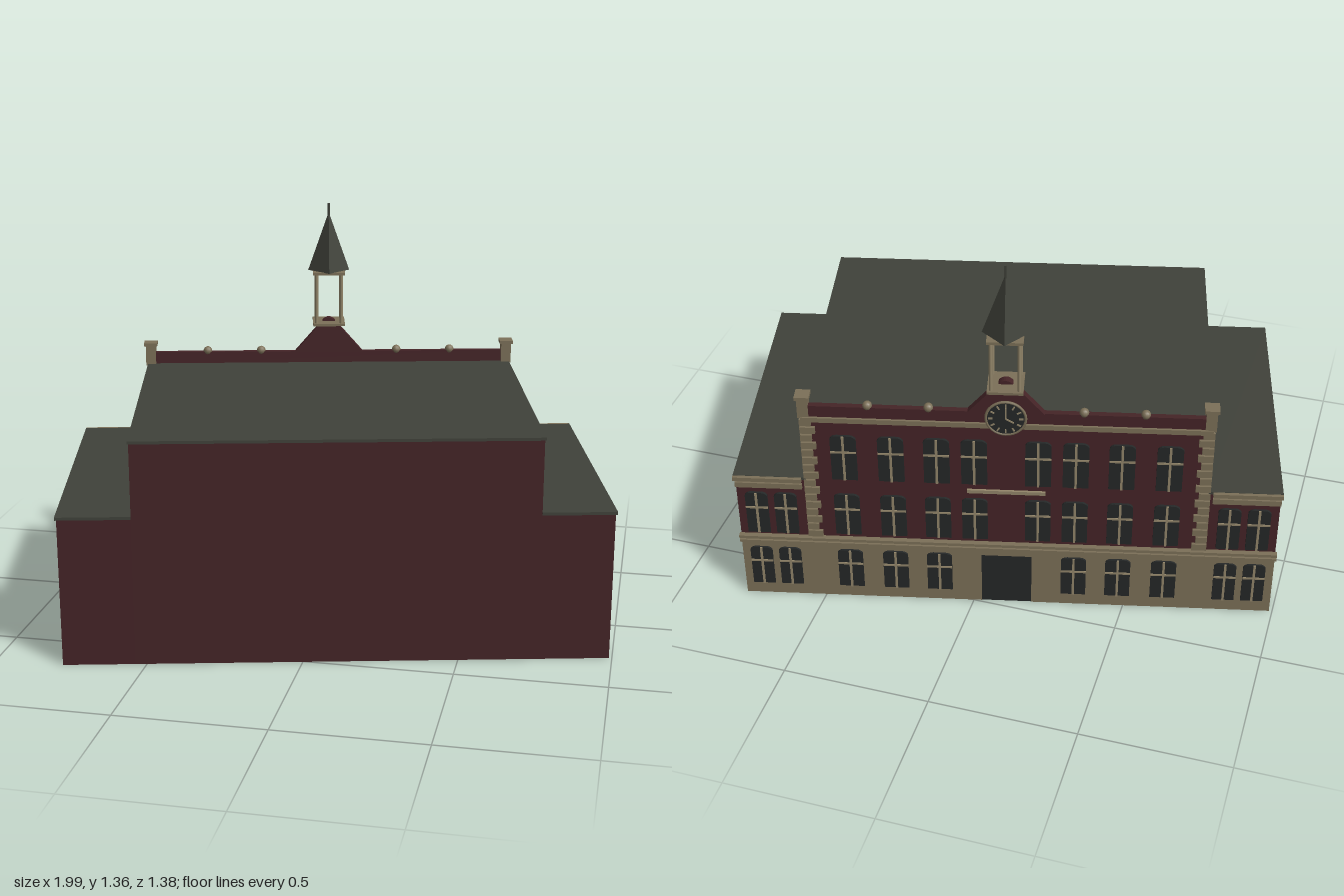
import * as THREE from 'three';

const mat = (name, color, side = THREE.FrontSide) => {
  const m = new THREE.MeshStandardMaterial({ color, side });
  m.name = name;
  return m;
};

export function createModel() {
  const brick = mat('brick', 0x452427);
  const roof = mat('roofSlate', 0x40423a);
  const stone = mat('stone', 0x7c7058);
  const glass = mat('darkGlass', 0x252828);
  const trim = mat('paleTrim', 0x93866a);

  const model = new THREE.Group();
  model.name = 'townHall';
  const hall = new THREE.Group();
  hall.name = 'hall';
  hall.rotation.y = Math.PI + 0.2275; // the decorated facade is turned to the back
  model.add(hall);

  const add = (name, geo, material, parent = hall) => {
    const mesh = new THREE.Mesh(geo, material);
    mesh.name = name;
    parent.add(mesh);
    return mesh;
  };
  // box given by its limits on each axis
  const box = (name, material, x0, x1, y0, y1, z0, z1, parent = hall) => {
    const m = add(name, new THREE.BoxGeometry(x1 - x0, y1 - y0, z1 - z0), material, parent);
    m.position.set((x0 + x1) / 2, (y0 + y1) / 2, (z0 + z1) / 2);
    return m;
  };
  const sides = [-1, 1];
  const F = 0.48; // facade plane

  // Main block and lower wings
  box('mainBlock', brick, -0.664, 0.664, 0, 0.762, -0.49, F);
  box('mainRoof', roof, -0.668, 0.668, 0.76, 0.77, -0.493, F);
  for (const s of sides) {
    const span = (a, b) => (s > 0 ? [a, b] : [-b, -a]);
    box('wing', brick, ...span(0.664, 0.903), 0, 0.507, -0.49, F);
    box('wingRoof', roof, ...span(0.664, 0.909), 0.506, 0.516, -0.493, 0.486);
    box('wingCornice', stone, ...span(0.68, 0.909), 0.5, 0.515, F, 0.498);
    box('wingCorniceLower', stone, ...span(0.68, 0.905), 0.468, 0.488, F, 0.49);
  }

  // Stone ground floor in two halves around the door, and string courses
  for (const [a, b] of [[-0.903, -0.085], [0.085, 0.903]])
    box('groundFloorStone', stone, a, b, 0, 0.232, F, 0.486);
  box('doorHead', stone, -0.085, 0.085, 0.205, 0.232, F, 0.486);
  box('door', glass, -0.085, 0.085, 0, 0.205, F, 0.484);
  box('stringCourseLower', stone, -0.908, 0.908, 0.232, 0.242, F, 0.494);
  box('stringCourseUpper', stone, -0.908, 0.908, 0.252, 0.263, F, 0.498);
  box('mainCornice', stone, -0.664, 0.664, 0.752, 0.77, F, 0.494);
  box('plainSign', trim, -0.13, 0.13, 0.476, 0.489, F, 0.488);

  // Arched windows with a glazing cross
  const windowPane = (w, h) => {
    const s = new THREE.Shape();
    s.moveTo(-w / 2, 0);
    s.lineTo(w / 2, 0);
    s.lineTo(w / 2, h * 0.93);
    s.quadraticCurveTo(w / 2 - 0.008, h, w / 4, h);
    s.lineTo(-w / 4, h);
    s.quadraticCurveTo(-w / 2 + 0.008, h, -w / 2, h * 0.93);
    return new THREE.ExtrudeGeometry(s, { depth: 0.009, bevelEnabled: false, curveSegments: 3 });
  };
  const addWindow = (x, y, z, w, h, turn = 0) => {
    const g = new THREE.Group();
    g.name = 'window';
    g.position.set(x, y, z);
    g.rotation.y = turn;
    add('pane', windowPane(w, h), glass, g);
    box('mullion', trim, -0.004, 0.004, 0, h, 0.009, 0.013, g);
    box('transom', trim, -w / 2, w / 2, h * 0.62, h * 0.62 + 0.007, 0.009, 0.012, g);
    hall.add(g);
  };

  // Side windows, two floors of four
  for (const s of sides)
    for (const z of [-0.33, -0.11, 0.105, 0.32])
      for (const y of [0.04, 0.267])
        addWindow(s * 0.903, y, z, 0.085, 0.18, s * Math.PI / 2);

  // Facade windows
  for (const s of sides) {
    for (const x of [0.74, 0.838]) {
      addWindow(s * x, 0.05, 0.484, 0.075, 0.16);
      addWindow(s * x, 0.275, F, 0.075, 0.17);
    }
    for (const x of [0.228, 0.378, 0.533]) {
      addWindow(s * x, 0.05, 0.484, 0.085, 0.16);
      addWindow(s * x, 0.28, F, 0.085, 0.17);
      addWindow(s * x, 0.515, F, 0.085, 0.18);
    }
    addWindow(s * 0.105, 0.28, F, 0.085, 0.17);
    addWindow(s * 0.105, 0.515, F, 0.085, 0.18);
  }

  // Corner quoins of the main block, alternately long and short
  for (const s of sides) {
    for (let i = 0; i < 16; i++) {
      const w = i % 2 ? 0.038 : 0.05;
      const y = 0.265 + i * 0.0312;
      const x = s * (0.671 - w / 2);
      box('quoin', stone, x - w / 2, x + w / 2, y, y + 0.025, 0.458, 0.49);
    }
    // Corner pillar with cap
    const px = s * 0.656;
    box('pillar', stone, px - 0.018, px + 0.018, 0.765, 0.84, 0.454, 0.49);
    box('pillarCap', stone, px - 0.024, px + 0.024, 0.838, 0.85, 0.448, 0.496);
  }

  // Parapet with stone knobs
  box('parapet', brick, -0.64, 0.64, 0.765, 0.812, 0.466, 0.486);
  for (const x of [-0.447, -0.25, 0.25, 0.447]) {
    const knob = add('parapetKnob', new THREE.SphereGeometry(0.016, 12, 8), stone);
    knob.position.set(x, 0.815, 0.476);
  }

  // Gable behind the clock
  const gable = new THREE.Shape();
  gable.moveTo(-0.125, 0.81);
  gable.lineTo(0.125, 0.81);
  gable.lineTo(0.02, 0.93);
  gable.quadraticCurveTo(0, 0.948, -0.02, 0.93);
  const gableGeo = new THREE.ExtrudeGeometry(gable, { depth: 0.026, bevelEnabled: false, curveSegments: 6 });
  add('gable', gableGeo, brick).position.z = 0.464;

  // Clock
  const clock = new THREE.Group();
  clock.name = 'clock';
  clock.position.set(0, 0.795, 0.49);
  hall.add(clock);
  const face = add('clockFace', new THREE.CylinderGeometry(0.064, 0.064, 0.012, 32), glass, clock);
  face.rotation.x = Math.PI / 2;
  add('clockRim', new THREE.TorusGeometry(0.064, 0.005, 6, 32), stone, clock).position.z = 0.004;
  for (let i = 0; i < 12; i++) {
    const a = i * Math.PI / 6;
    const mark = add('hourMark', new THREE.BoxGeometry(0.005, 0.014, 0.003), trim, clock);
    mark.position.set(Math.sin(a) * 0.049, Math.cos(a) * 0.049, 0.007);
    mark.rotation.z = -a;
  }
  for (const [len, a] of [[0.042, 0], [0.03, 2.1]]) {
    const hand = add('clockHand', new THREE.BoxGeometry(0.005, len, 0.003), trim, clock);
    hand.position.set(Math.sin(a) * len / 2, Math.cos(a) * len / 2, 0.008);
    hand.rotation.z = -a;
  }

  // Open lantern and spire
  const tower = new THREE.Group();
  tower.name = 'lantern';
  tower.position.z = 0.478;
  hall.add(tower);
  box('lanternFloor', stone, -0.058, 0.058, 0.917, 0.926, -0.058, 0.058, tower);
  box('lanternTop', stone, -0.058, 0.058, 1.106, 1.116, -0.058, 0.058, tower);
  for (const x of sides)
    for (const z of sides) {
      const post = add('lanternPost', new THREE.CylinderGeometry(0.006, 0.006, 0.182, 8), trim, tower);
      post.position.set(x * 0.045, 1.016, z * 0.045);
    }
  const spireGeo = new THREE.ConeGeometry(0.075, 0.213, 4).toNonIndexed();
  spireGeo.computeVertexNormals();
  add('spire', spireGeo, roof, tower).position.y = 1.222;
  add('finial', new THREE.CylinderGeometry(0.004, 0.004, 0.06, 8), roof, tower).position.y = 1.33;

  return model;
}
